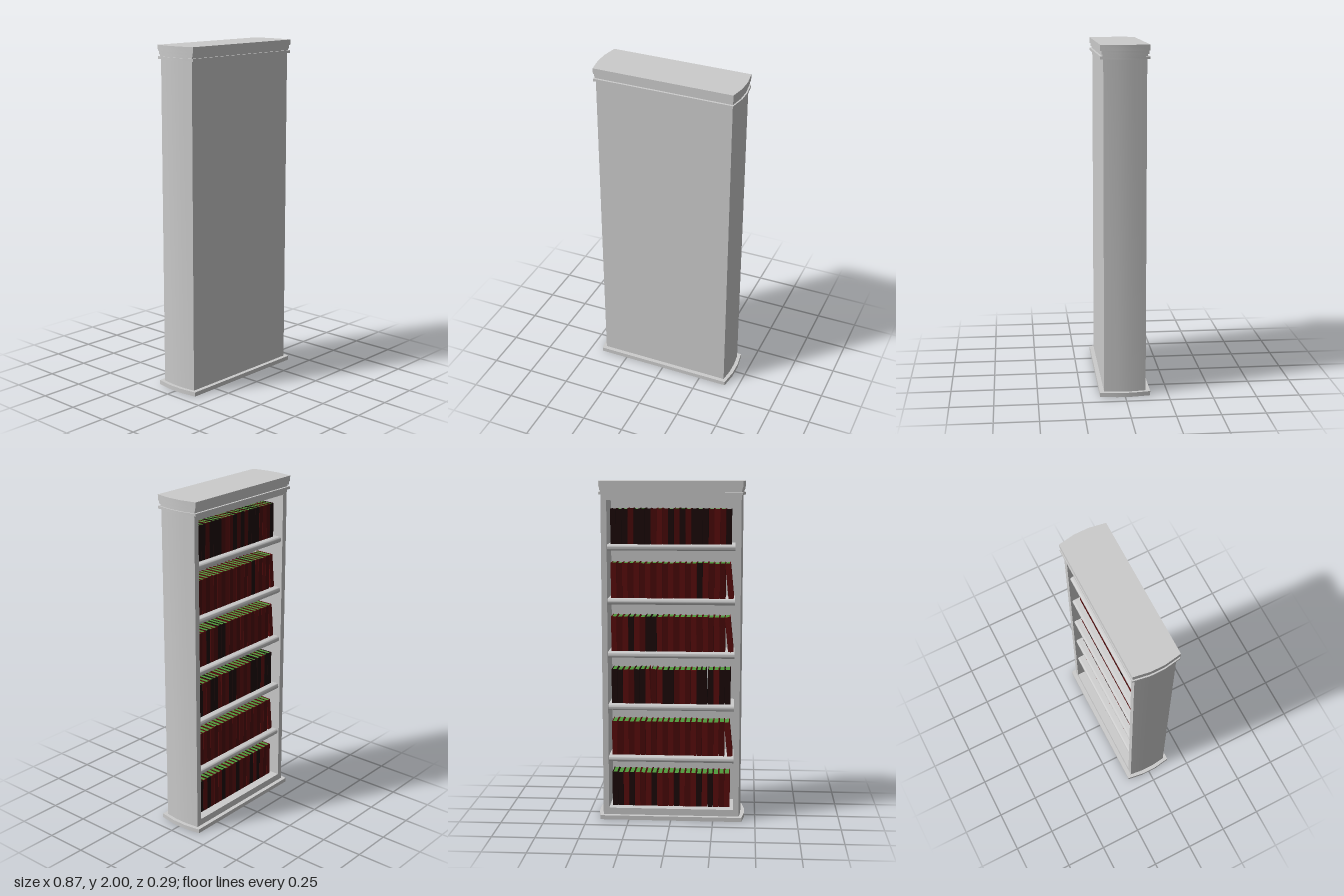
import * as THREE from 'three';
import { toCreasedNormals } from 'three/addons/utils/BufferGeometryUtils.js';

const mat = (color) => new THREE.MeshStandardMaterial({ color });
const grey = mat(0xcccccc), green = mat(0x4f9a3c);
const covers = [mat(0x5c0c0c), mat(0x4a0909), mat(0x1c0808)];

// Extrude a plan outline (x, z) upwards from y0 to y1
function prism(points, y0, y1) {
  const shape = new THREE.Shape(points.map(([x, z]) => new THREE.Vector2(x, -z)));
  const g = new THREE.ExtrudeGeometry(shape, { depth: y1 - y0, bevelEnabled: false });
  g.rotateX(-Math.PI / 2).translate(0, y0, 0);
  return toCreasedNormals(g, Math.PI / 6);
}

// Plan with straight front and back and bowed ends
const bowed = (x, xMid, z, zMid) => [
  [x, z], [xMid, zMid], [xMid, -zMid], [x, -z],
  [-x, -z], [-xMid, -zMid], [-xMid, zMid], [-x, z],
];

export function createModel() {
  const model = new THREE.Group();
  const add = (name, geometry, material = grey, parent = model) => {
    const m = new THREE.Mesh(geometry, material);
    m.name = name;
    parent.add(m);
    return m;
  };
  const box = (name, w, h, d, x, y, z, material, parent) =>
    add(name, new THREE.BoxGeometry(w, h, d).translate(x, y, z), material, parent);

  // Plinth and stepped cornice
  add('plinth', prism(bowed(0.42, 0.435, 0.145, 0.045), 0, 0.025));
  add('corniceLower', prism(bowed(0.411, 0.427, 0.137, 0.042), 1.922, 1.937));
  add('corniceNeck', prism(bowed(0.405, 0.418, 0.124, 0.04), 1.937, 1.948));
  add('corniceMiddle', prism(bowed(0.408, 0.422, 0.13, 0.041), 1.948, 1.967));
  add('corniceTop', prism(bowed(0.411, 0.427, 0.137, 0.042), 1.967, 2));

  // Bowed side walls
  for (const s of [-1, 1]) {
    const plan = [[0.37, 0.12], [0.403, 0.12], [0.413, 0.04], [0.413, -0.04], [0.403, -0.12], [0.37, -0.12]];
    add(s > 0 ? 'leftSide' : 'rightSide', prism(plan.map(([x, z]) => [x * s, z]), 0.025, 1.922));
  }

  // Closed panel, bottom board and head rail
  box('panel', 0.74, 1.897, 0.02, 0, 0.9735, 0.11);
  box('bottomBoard', 0.74, 0.04, 0.22, 0, 0.045, -0.01);
  box('headRail', 0.74, 0.03, 0.22, 0, 1.907, -0.01);

  // Shelves with a rounded open edge
  const pitch = 0.314, floor = 0.066;
  for (let i = 1; i < 6; i++) {
    const y = floor + i * pitch, t = 0.034;
    const profile = new THREE.Shape();
    profile.moveTo(0.1, 0);
    profile.lineTo(-0.097, 0);
    profile.quadraticCurveTo(-0.11, -0.002, -0.11, -t / 2);
    profile.quadraticCurveTo(-0.11, -t + 0.002, -0.097, -t);
    profile.lineTo(0.1, -t);
    const g = new THREE.ExtrudeGeometry(profile, { depth: 0.74, bevelEnabled: false, curveSegments: 4 });
    g.rotateY(-Math.PI / 2).translate(0.37, y, 0);
    add('shelf', toCreasedNormals(g, Math.PI / 4));
  }

  // A book: spine and two boards around a page block, origin at its foot
  let seed = 7;
  const random = () => (seed = (seed * 16807) % 2147483647) / 2147483647;
  const zSpine = -0.068, depth = 0.118;
  function book(w, h, cover) {
    const g = new THREE.Group();
    g.name = 'book';
    const b = 0.004;
    box('spine', w, h, b, 0, h / 2, zSpine + b / 2, cover, g);
    for (const s of [-1, 1]) {
      box('board', b, h, depth - b, s * (w - b) / 2, h / 2, zSpine + b + (depth - b) / 2, cover, g);
    }
    box('pages', w - 2 * b, h - 0.006, depth - b - 0.004, 0, h / 2, zSpine + depth / 2, green, g);
    return g;
  }

  // Rows of books from bottom to top; some rows end in a leaning book
  const count = 21, step = 0.0335;
  const darkShare = [0.4, 0.05, 0.6, 0.15, 0.1, 0.35];
  const leaningEnd = [false, true, false, true, true, false];
  for (let row = 0; row < 6; row++) {
    const shelfRow = new THREE.Group();
    shelfRow.name = 'bookRow';
    shelfRow.position.y = floor + row * pitch;
    for (let i = 0; i < count; i++) {
      const r = random();
      const cover = r < darkShare[row] ? covers[2] : covers[i % 2];
      const b = book(step - 0.0015, 0.203 + 0.004 * random(), cover);
      b.position.x = 0.338 - i * step;
      if (leaningEnd[row] && i === count - 1) {
        b.position.x -= 0.016;
        b.rotation.z = -0.1;
      } else if (row === 2 && (i === 6 || i === 16)) {
        b.rotation.z = -0.05;
      }
      shelfRow.add(b);
    }
    model.add(shelfRow);
  }
  return model;
}
